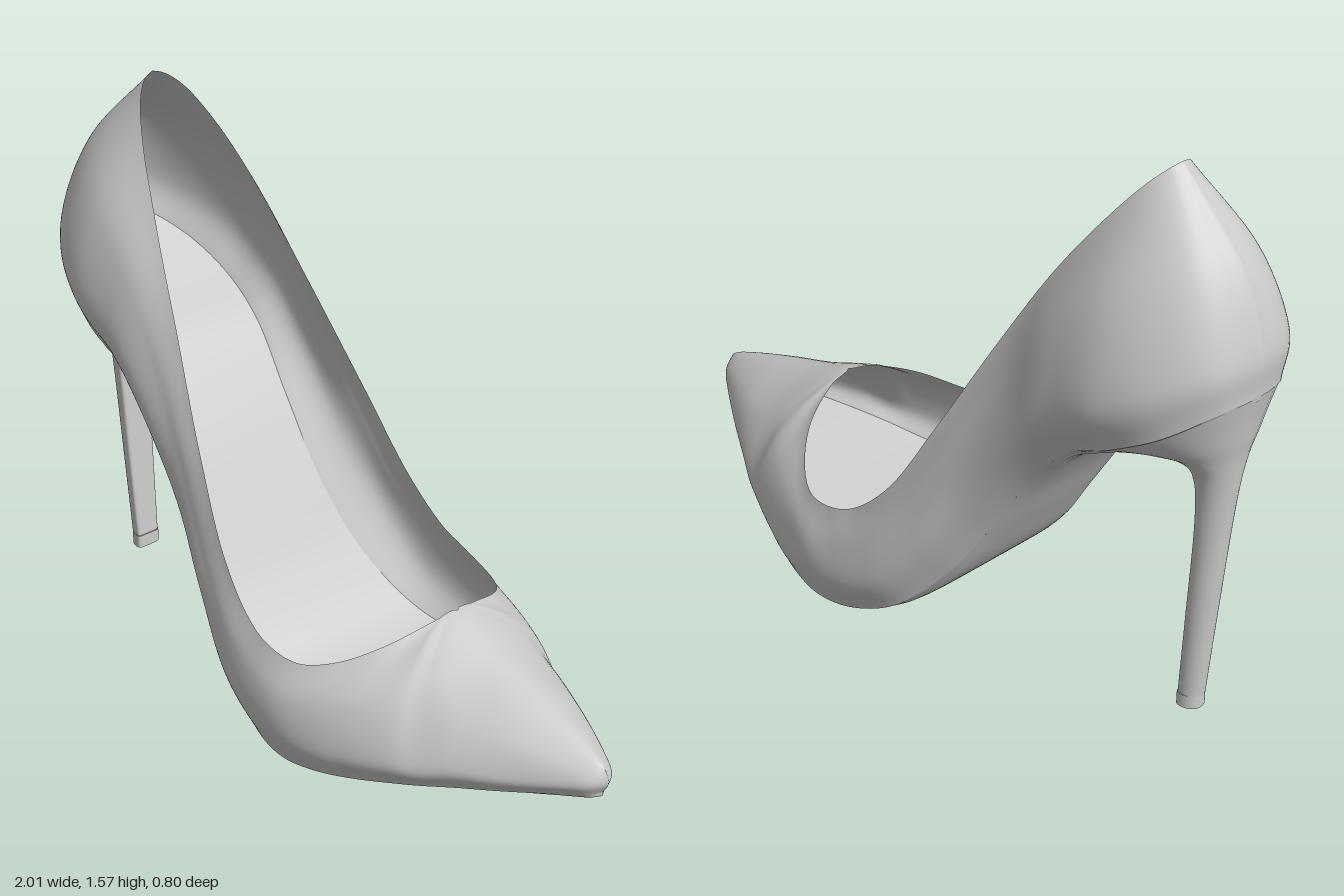
import * as THREE from 'three';
import { mergeGeometries, mergeVertices } from 'three/addons/utils/BufferGeometryUtils.js';

const { clamp, smoothstep, lerp } = THREE.MathUtils;
const material = new THREE.MeshStandardMaterial({ color: 0xcccccc, side: THREE.DoubleSide });

// Four rails run from the back seam to the toe: [x, y, half width] at matching stations
const rail = (points) => new THREE.CatmullRomCurve3(points.map((p) => new THREE.Vector3(...p)));
const soleEdge = rail([
  [-1, 1.06, 0], [-.97, 1.04, .11], [-.88, .97, .195], [-.75, .89, .23], [-.6, .8, .22],
  [-.45, .62, .2], [-.32, .41, .2], [-.2, .22, .235], [-.07, .08, .3], [.06, .025, .345],
  [.18, .012, .36], [.3, .025, .345], [.41, .045, .31], [.52, .07, .265], [.58, .085, .24],
  [.66, .105, .2], [.78, .132, .14], [.9, .158, .07], [.965, .172, .03], [.985, .178, 0]]);
const belly = rail([
  [-1, 1.19, 0], [-.965, 1.17, .13], [-.87, 1.11, .225], [-.74, 1.03, .28], [-.59, .93, .285],
  [-.45, .76, .283], [-.31, .54, .29], [-.19, .34, .325], [-.06, .18, .365], [.06, .13, .39],
  [.18, .11, .395], [.3, .11, .375], [.41, .13, .34], [.52, .15, .295], [.58, .16, .265],
  [.66, .175, .225], [.79, .185, .155], [.91, .198, .085], [.975, .205, .04], [1, .205, 0]]);
const shoulder = rail([
  [-.92, 1.38, 0], [-.885, 1.37, .095], [-.82, 1.33, .165], [-.71, 1.26, .225], [-.56, 1.14, .25],
  [-.42, .93, .262], [-.28, .68, .295], [-.16, .45, .33], [-.03, .3, .368], [.08, .24, .385],
  [.19, .22, .388], [.29, .24, .355], [.4, .27, .3], [.49, .31, .23], [.53, .34, .17],
  [.64, .3, .15], [.78, .275, .11], [.91, .25, .06], [.975, .235, .028], [1, .225, 0]]);
const topline = rail([
  [-.73, 1.57, 0], [-.72, 1.56, .03], [-.69, 1.525, .07], [-.62, 1.43, .12], [-.5, 1.25, .175],
  [-.37, 1.015, .225], [-.22, .72, .285], [-.09, .49, .325], [.03, .37, .345], [.12, .33, .352],
  [.22, .315, .335], [.31, .34, .28], [.39, .39, .19], [.44, .438, .07], [.455, .45, 0],
  [.6, .393, 0], [.77, .335, 0], [.905, .288, 0], [.97, .26, 0], [.99, .245, 0]]);
const rails = [soleEdge, belly, shoulder, topline];
const VAMP = 14 / 19; // where the opening ends

const spline = (a, b, c, d, t) =>
  b + .5 * t * (c - a + t * (2 * a - 5 * b + 4 * c - d + t * (3 * (b - c) + d - a)));

// The heel half sits slightly off the centre line
const centre = (x) => .025 * (1 - smoothstep(x, -.5, -.05));

// Point on the upper: u from back to toe, v from sole edge to top, side is +1 or -1
function upperPoint(u, v, side) {
  const p = rails.map((r) => r.getPoint(u).toArray());
  p.forEach((q) => { q[2] = Math.max(0, q[2]); });
  const round = smoothstep(u, VAMP - .08, VAMP);
  const first = p[0].map((n, k) => 2 * n - p[1][k]);
  // Over the vamp the section continues smoothly across the middle
  const last = p[3].map((n, k) => lerp(2 * n - p[2][k], k === 2 ? -p[2][2] : p[2][k], round));
  const all = [first, ...p, last];
  const s = Math.min(2, Math.floor(v * 3));
  const [x, y, w] = [0, 1, 2].map((k) =>
    spline(all[s][k], all[s + 1][k], all[s + 2][k], all[s + 3][k], v * 3 - s));
  return [x, y, centre(x) + side * Math.max(0, w)];
}

// Grid surface from a rule f(i, j) with both parameters in 0..1
function grid(nu, nv, f, flip = false) {
  const pos = [], index = [];
  for (let i = 0; i <= nu; i++) for (let j = 0; j <= nv; j++) pos.push(...f(i / nu, j / nv));
  for (let i = 0; i < nu; i++) for (let j = 0; j < nv; j++) {
    const a = i * (nv + 1) + j, b = a + nv + 1;
    if (flip) index.push(a, b + 1, b, a, a + 1, b + 1);
    else index.push(a, b, b + 1, a, b + 1, a + 1);
  }
  const g = new THREE.BufferGeometry();
  g.setAttribute('position', new THREE.Float32BufferAttribute(pos, 3));
  g.setIndex(index);
  return g;
}

function part(name, geometry) {
  const g = mergeVertices(geometry, 1e-5);
  g.computeVertexNormals();
  const mesh = new THREE.Mesh(g, material);
  mesh.name = name;
  return mesh;
}

// Surface spanning the shoe from side to side at height v, shifted by lift(u, s), s in -1..1
function ribbon(v, lift, flip) {
  return grid(152, 16, (u, j) => {
    const s = 2 * j - 1;
    const [x, y, z] = upperPoint(u, v, 1);
    const c = centre(x);
    return [x, y + lift(u, s), c + s * (z - c)];
  }, flip);
}

// Heel sections: back x, back y, front x, front y, half width
const heelRings = [
  [-1, 1.06, -.62, .81, .23], [-.985, .99, -.67, .825, .19], [-.972, .92, -.75, .84, .14],
  [-.96, .86, -.83, .838, .092], [-.95, .78, -.86, .79, .062], [-.936, .65, -.864, .65, .05],
  [-.91, .36, -.848, .36, .043], [-.889, .1, -.832, .1, .036]];

function heelSection(r, angle) {
  const [xb, yb, xf, yf, w] = r;
  const xm = lerp(xb, xf, .7);
  const c = Math.cos(angle), s = Math.sin(angle);
  const power = c > 0 ? .4 : 1; // round at the back, squared at the breast
  const x = c > 0 ? xm + (xf - xm) * c ** power : xm + (xm - xb) * c;
  const z = w * Math.sign(s) * Math.abs(s) ** power;
  return [x, lerp(yb, yf, (x - xb) / (xf - xb)), .025 + z];
}

function heelPoint(t, j) {
  const n = heelRings.length - 1;
  const s = Math.min(n - 1, Math.floor(t * n));
  const at = (k) => heelRings[clamp(k, 0, n)];
  const ring = at(s).map((_, k) =>
    spline(at(s - 1)[k], at(s)[k], at(s + 1)[k], at(s + 2)[k], t * n - s));
  return heelSection(ring, j * Math.PI * 2);
}

export function createModel() {
  const shoe = new THREE.Group();
  shoe.name = 'highHeelShoe';

  // Upper: two mirrored halves welded along back seam and vamp
  shoe.add(part('upper', mergeGeometries([1, -1].map((side) =>
    grid(190, 30, (u, v) => upperPoint(u, v, side), side < 0)))));

  // Insole and outsole, thicker through the shank
  shoe.add(part('insole', ribbon(.045, () => .004, true)));
  shoe.add(part('outsole', ribbon(0, (u, s) => {
    const shank = smoothstep(u, .08, .2) * (1 - smoothstep(u, .32, .48));
    return -(.012 + .02 * shank) * (1 - s ** 8);
  }, false)));

  // Stiletto heel with a small tip block
  shoe.add(part('heel', grid(56, 40, heelPoint, true)));
  const tip = [-.888, -.83];
  shoe.add(part('heelTip', grid(1, 40, (t, j) =>
    heelSection([tip[0], .1 - .04 * t, tip[1], .1 - .04 * t, .037], j * Math.PI * 2), true)));
  shoe.add(part('heelTipBase', grid(1, 40, (t, j) => {
    const [x, y, z] = heelSection([tip[0], .06, tip[1], .06, .037], j * Math.PI * 2);
    return [lerp(x, -.859, t), y, lerp(z, .025, t)];
  }, true)));
  return shoe;
}
